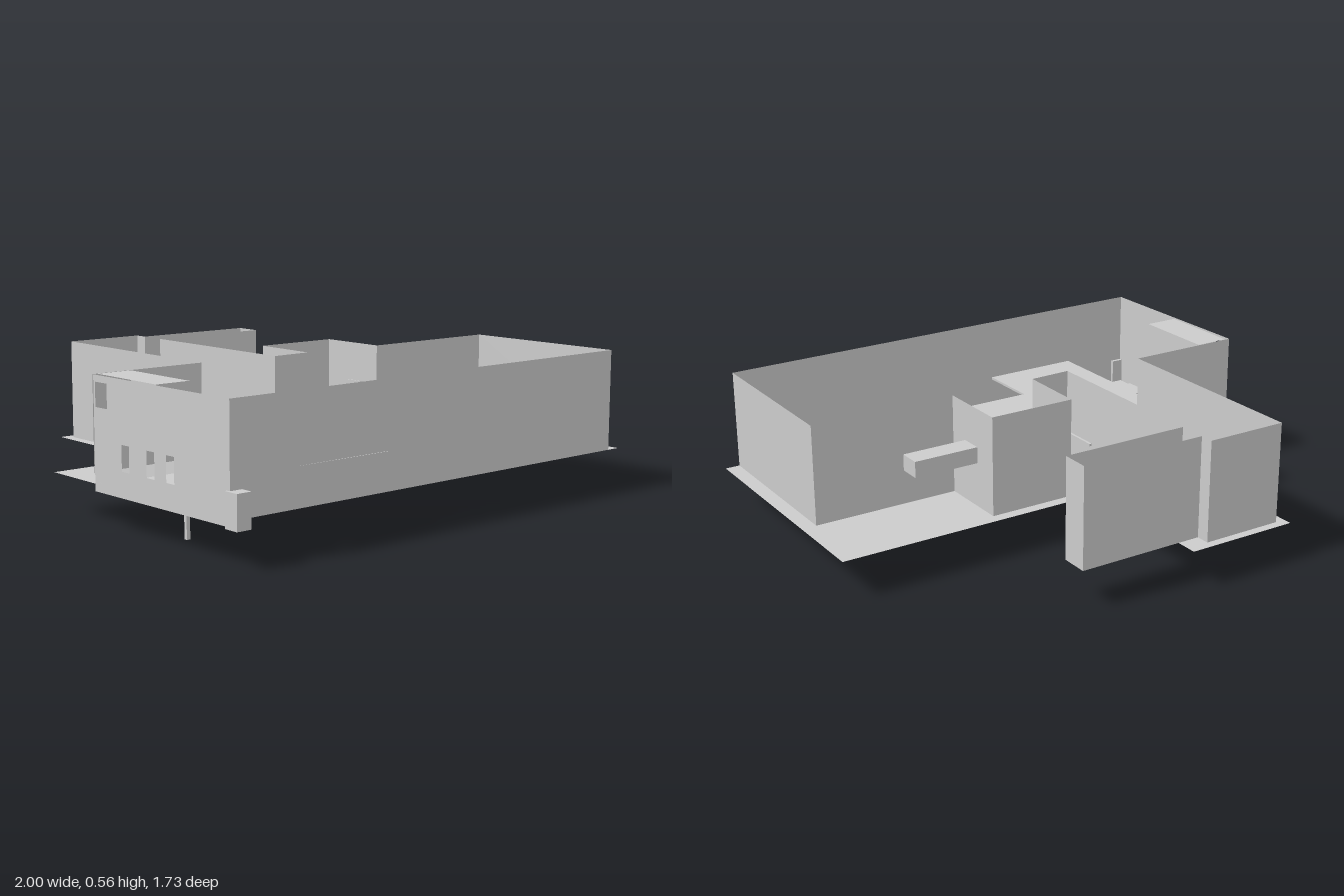
import * as THREE from 'three';

const FLOOR = 0.155, TOP = 0.555, DECK = 0.3;
const mat = new THREE.MeshStandardMaterial({ color: 0xcccccc, side: THREE.DoubleSide, flatShading: true });

export function createModel() {
  const model = new THREE.Group();

  const add = (name, geometry) => {
    const mesh = new THREE.Mesh(geometry, mat);
    mesh.name = name;
    model.add(mesh);
    return mesh;
  };

  // Box given by its minimum and maximum corners
  const box = (name, [x0, y0, z0], [x1, y1, z1]) =>
    add(name, new THREE.BoxGeometry(x1 - x0, y1 - y0, z1 - z0)
      .translate((x0 + x1) / 2, (y0 + y1) / 2, (z0 + z1) / 2));

  // Flat sheet from [x, z] outline points; optional thickness below the top
  const sheet = (name, pts, y, thick = 0) => {
    const shape = new THREE.Shape(pts.map(([x, z]) => new THREE.Vector2(x, -z)));
    const geo = thick
      ? new THREE.ExtrudeGeometry(shape, { depth: thick, bevelEnabled: false })
      : new THREE.ShapeGeometry(shape);
    return add(name, geo.rotateX(-Math.PI / 2).translate(0, y - thick, 0));
  };

  // Upright thin wall between two [x, z] points; openings are [start, end, bottom, top]
  const wall = (name, a, b, y0 = FLOOR, y1 = TOP, openings = []) => {
    const dx = b[0] - a[0], dz = b[1] - a[1];
    const rect = (C, u0, u1, v0, v1) => new C([[u0, v0], [u1, v0], [u1, v1], [u0, v1]]
      .map(p => new THREE.Vector2(...p)));
    const shape = rect(THREE.Shape, 0, Math.hypot(dx, dz), y0, y1);
    openings.forEach(o => shape.holes.push(rect(THREE.Path, ...o)));
    return add(name, new THREE.ShapeGeometry(shape)
      .rotateY(Math.atan2(-dz, dx)).translate(a[0], 0, a[1]));
  };

  // Sloped four-cornered plate
  const plate = (name, a, b, c, d) => {
    const geo = new THREE.BufferGeometry();
    geo.setAttribute('position', new THREE.Float32BufferAttribute([a, b, c, a, c, d].flat(), 3));
    geo.computeVertexNormals();
    return add(name, geo);
  };

  // Ground floor with rear wing and side nook
  sheet('floor', [[-0.98, 0.8], [1, 0.8], [1, -0.245], [-0.1, -0.245], [-0.1, -0.665],
    [0.325, -0.665], [0.325, -0.775], [-0.1, -0.775], [-0.1, -0.865], [-0.56, -0.865],
    [-0.56, -0.245], [-0.98, -0.245]], FLOOR);

  // Outer walls follow one continuous path
  const path = [[-0.985, 0.815], [0.94, 0.8], [0.94, 0.09], [0.34, 0.09], [0.34, -0.2],
    [-0.015, -0.2], [-0.02, 0.08], [-0.19, 0.085], [-0.19, -0.665], [0.325, -0.665],
    [0.325, -0.775], [-0.19, -0.775], [-0.19, -0.83], [-0.52, -0.83], [-0.52, 0.055]];
  for (let i = 0; i < path.length - 1; i++) wall('outerWall', path[i], path[i + 1]);
  wall('rearWall', [-0.52, 0.055], [-1, 0.055], 0.2);
  plate('rearSkirt', [-1, 0.2, 0.055], [-0.55, 0.2, 0.055], [-0.55, 0.165, 0.1], [-1, 0.165, 0.1]);

  // End wall with one high window and three low slits
  wall('windowWall', [-1, 0.06], [-0.985, 0.815], 0.135, TOP, [
    [0.01, 0.08, 0.44, 0.53],
    ...[0.185, 0.33, 0.44].map(s => [s - 0.022, s + 0.022, 0.23, 0.325]),
  ]);

  // Raised deck with its two ramps
  sheet('deck', [[-0.69, -0.09], [-0.18, -0.09], [-0.18, 0.08], [-0.28, 0.08], [-0.28, 0.335],
    [0.29, 0.335], [0.29, 0.545], [-0.28, 0.545], [-0.28, 0.814], [-0.69, 0.814],
    [-0.69, 0.41], [-0.745, 0.41], [-0.745, 0.29], [-0.69, 0.29]], DECK, 0.01);
  plate('longRamp', [0.29, DECK, 0.545], [0.72, FLOOR, 0.545], [0.72, FLOOR, 0.335], [0.29, DECK, 0.335]);
  plate('shortRamp', [-0.745, DECK, 0.41], [-0.745, 0.135, 0.66], [-0.69, 0.135, 0.66], [-0.69, DECK, 0.41]);

  // Raised cabin in the corner, on a post, with a doorway and gangplank
  const base = 0.345;
  const plan = [[-0.98, 0.06], [-0.84, 0.06], [-0.84, 0.41], [-0.98, 0.41]];
  sheet('cabinRoof', plan, TOP);
  sheet('cabinFloor', plan, base);
  wall('cabinFront', plan[3], plan[2], base);
  wall('cabinSide', plan[1], plan[2], base, TOP, [[0.02, 0.1, 0.357, 0.51]]);
  plate('gangplank', [-0.84, 0.357, 0.13], [-0.69, 0.29, 0.15], [-0.675, 0.285, 0.1], [-0.84, 0.357, 0.08]);
  box('cabinPost', [-0.86, 0, 0.398], [-0.845, base, 0.412]);

  // Boxes fixed to the outside
  box('outerLedge', [0.335, 0.335, -0.09], [0.61, 0.4, 0]);
  box('cornerBox', [-0.995, 0.13, 0.8], [-0.935, 0.255, 0.863]);

  return model;
}
